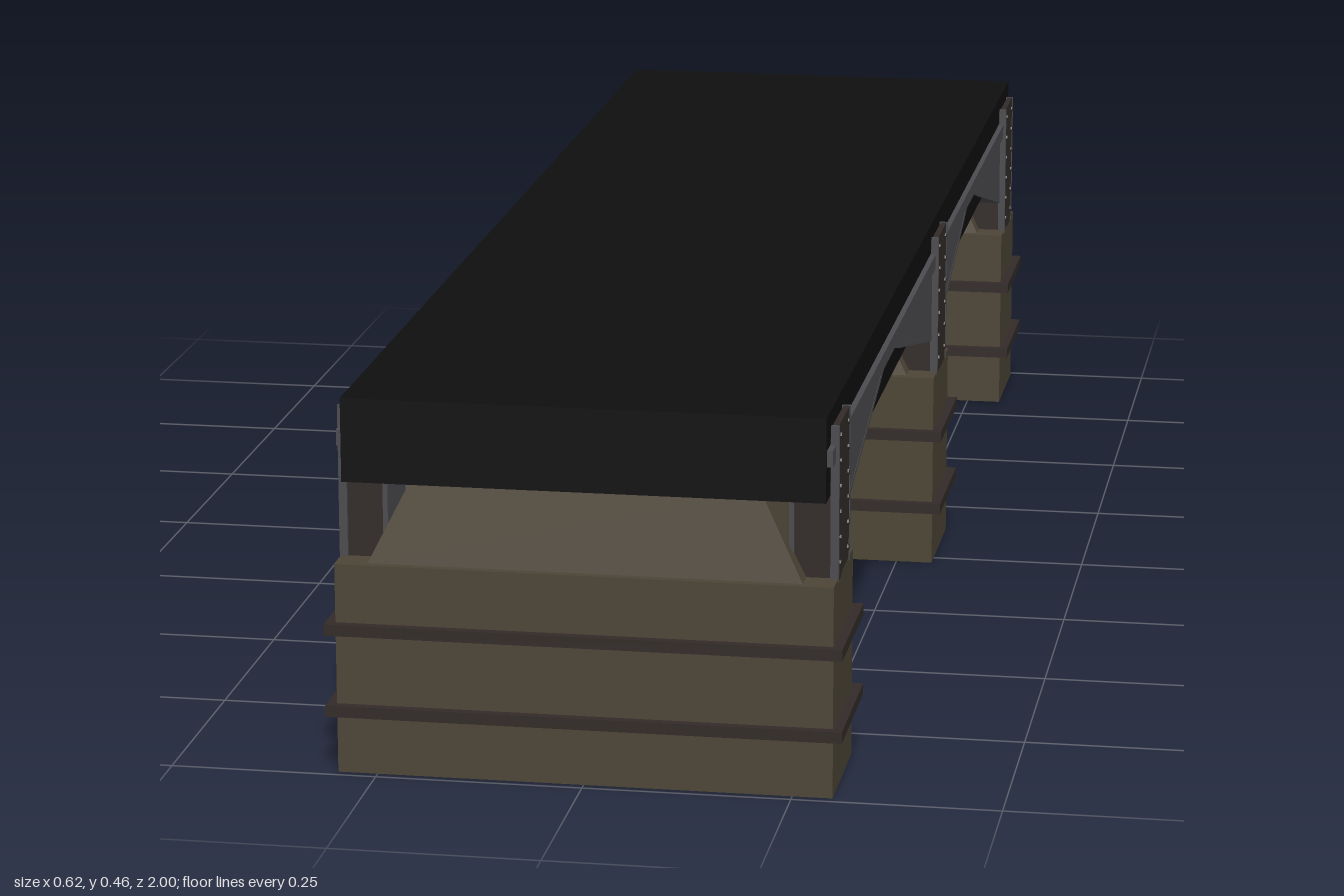
import * as THREE from 'three';

const mat = (color) => new THREE.MeshStandardMaterial({ color, flatShading: true });

export function createModel() {
  const root = new THREE.Group();
  root.name = 'bridge';
  const asphalt = mat(0x0f0f0f), stone = mat(0x4d4536), iron = mat(0x322b28), steel = mat(0x4c4c50);

  const add = (parent, name, geometry, material) => {
    const mesh = new THREE.Mesh(geometry, material);
    mesh.name = name;
    parent.add(mesh);
    return mesh;
  };
  // Box given by its low and high limits on each axis
  const box = (parent, name, material, [x0, x1], [y0, y1], [z0, z1]) => {
    const mesh = add(parent, name, new THREE.BoxGeometry(x1 - x0, y1 - y0, z1 - z0), material);
    mesh.position.set((x0 + x1) / 2, (y0 + y1) / 2, (z0 + z1) / 2);
    return mesh;
  };
  const mirrored = (side, a, b) => (side > 0 ? [a, b] : [-b, -a]);

  // Road deck
  box(root, 'deck', asphalt, [-0.288, 0.288], [0.36, 0.462], [-0.99, 0.987]);

  // Piers with tapered caps, iron bands and riveted posts
  for (const z of [0.907, -0.058, -0.907]) {
    const pier = new THREE.Group();
    pier.name = 'pier';
    pier.position.z = z;
    root.add(pier);
    box(pier, 'pierBase', stone, [-0.298, 0.298], [0, 0.259], [-0.082, 0.082]);

    const cap = new THREE.BoxGeometry(0.52, 0.104, 0.144);
    const p = cap.attributes.position;
    for (let i = 0; i < p.count; i++) {
      if (p.getY(i) > 0) p.setXYZ(i, p.getX(i) * 0.8, p.getY(i), p.getZ(i) * 0.75);
    }
    cap.computeVertexNormals();
    add(pier, 'pierCap', cap, stone).position.y = 0.311;

    for (const y of [0.079, 0.18]) {
      box(pier, 'band', iron, [-0.31, 0.31], [y - 0.007, y + 0.007], [-0.093, 0.093]);
    }

    for (const side of [1, -1]) {
      const post = new THREE.Group();
      post.name = 'post';
      pier.add(post);
      box(post, 'postCore', iron, mirrored(side, 0.246, 0.292), [0.255, 0.44], [-0.044, 0.044]);
      box(post, 'innerFlange', steel, mirrored(side, 0.24, 0.246), [0.255, 0.362], [-0.048, 0.048]);
      box(post, 'outerPlate', iron, mirrored(side, 0.291, 0.298), [0.255, 0.445], [-0.044, 0.044]);
      for (const s of [1, -1]) {
        box(post, 'plateEdge', steel, mirrored(side, 0.289, 0.299), [0.255, 0.445], mirrored(s, 0.044, 0.049));
        for (let i = 0; i < 6; i++) {
          const rivet = add(post, 'rivet', new THREE.CylinderGeometry(0.004, 0.004, 0.003, 6), iron);
          rivet.rotation.z = Math.PI / 2;
          rivet.position.set(side * 0.2985, 0.275 + i * 0.031, s * 0.032);
        }
      }
    }
  }

  // Extrudes a (z, y) outline sideways between two x limits
  const plate = (parent, name, points, [x0, x1]) => {
    const shape = new THREE.Shape(points.map(([z, y]) => new THREE.Vector2(-z, y)));
    const g = new THREE.ExtrudeGeometry(shape, { depth: x1 - x0, bevelEnabled: false });
    g.rotateY(Math.PI / 2).translate(x0, 0, 0);
    return add(parent, name, g, steel);
  };

  // Arched girders and edge rails
  for (const side of [1, -1]) {
    for (const [front, back] of [[0.87, -0.02], [-0.095, -0.865]]) {
      const mid = (front + back) / 2 + 0.015, half = (front - back) / 2;
      const arch = [[front, 0.3], [mid + half * 0.22, 0.382], [mid + half * 0.09, 0.397],
        [mid, 0.401], [mid - half * 0.09, 0.397], [mid - half * 0.22, 0.382], [back, 0.3]];
      const girder = new THREE.Group();
      girder.name = 'girder';
      root.add(girder);
      plate(girder, 'girderWeb', [...arch, [back, 0.412], [front, 0.412]], mirrored(side, 0.272, 0.2905));
      const lip = [...arch, ...arch.map(([z, y]) => [z, y + 0.007]).reverse()];
      plate(girder, 'girderFlange', lip, mirrored(side, 0.242, 0.291));
    }
    box(root, 'edgeRail', steel, mirrored(side, 0.28, 0.295), [0.402, 0.422], [-0.983, 0.98]);
  }
  return root;
}
